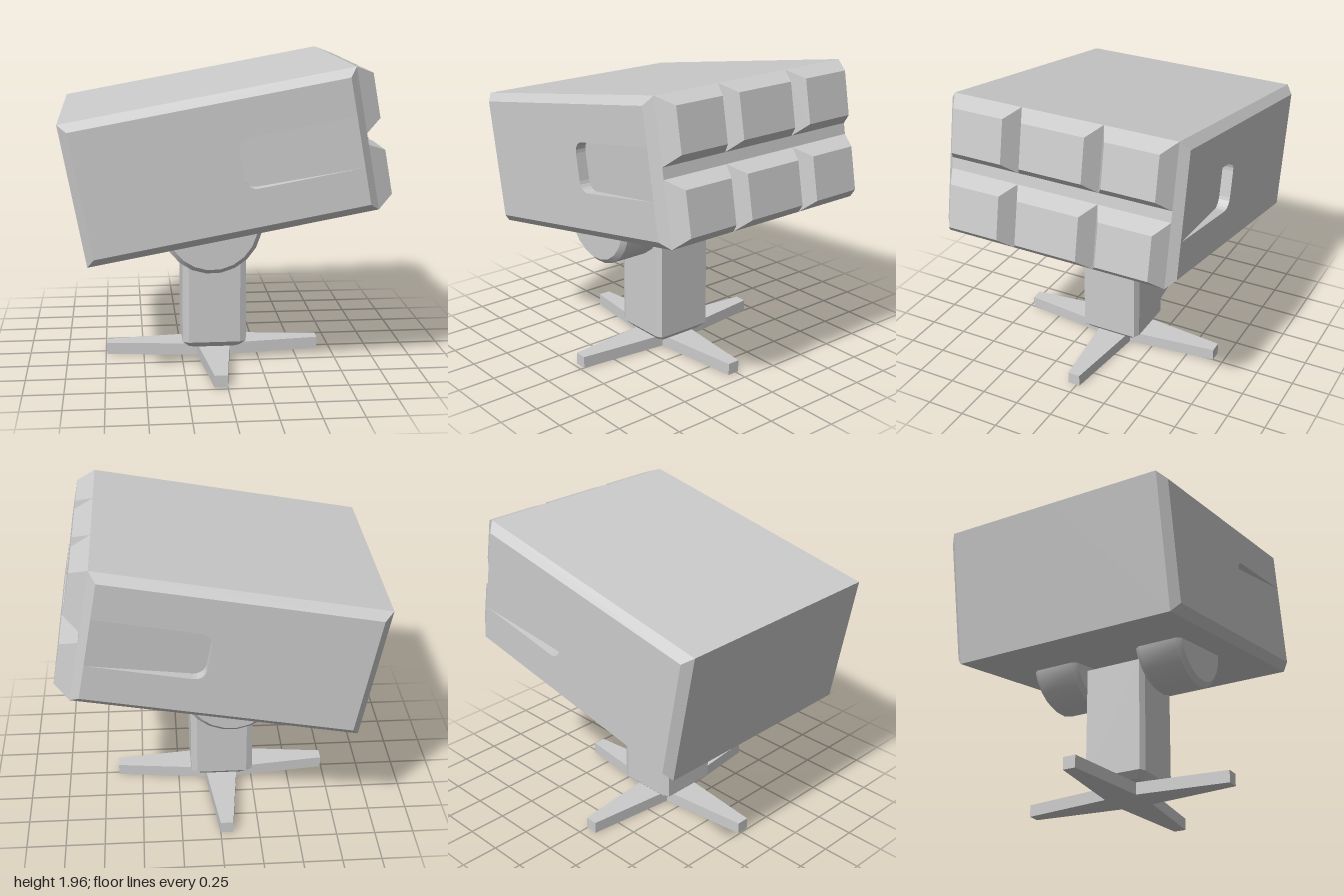
import * as THREE from 'three';
import { toCreasedNormals, mergeGeometries } from 'three/addons/utils/BufferGeometryUtils.js';

const material = new THREE.MeshStandardMaterial({ color: 0xcccccc });

function add(parent, name, geometry) {
  const mesh = new THREE.Mesh(geometry, material);
  mesh.name = name;
  parent.add(mesh);
  return mesh;
}

// Faceted skin through rings of [x, y, z] points, optionally capped at the start and end
function loft(rings, capStart, capEnd) {
  const pos = [];
  const tri = (a, b, c) => pos.push(...a, ...b, ...c);
  const n = rings[0].length;
  for (let r = 0; r < rings.length - 1; r++) {
    const a = rings[r], b = rings[r + 1];
    for (let i = 0; i < n; i++) {
      const j = (i + 1) % n;
      tri(a[i], a[j], b[j]);
      tri(a[i], b[j], b[i]);
    }
  }
  const last = rings[rings.length - 1];
  for (let i = 1; i < n - 1; i++) {
    if (capStart) tri(rings[0][0], rings[0][i + 1], rings[0][i]);
    if (capEnd) tri(last[0], last[i], last[i + 1]);
  }
  const g = new THREE.BufferGeometry();
  g.setAttribute('position', new THREE.Float32BufferAttribute(pos, 3));
  g.computeVertexNormals();
  return g;
}

const rect = (a0, a1, b0, b1) => [[a0, b0], [a1, b0], [a1, b1], [a0, b1]];

// Launcher box dimensions in its own tilted frame
const L = 1.776, H = 0.87, W = 0.78, BEVEL = 0.05;

// One half of the box: bevelled shell, side panel and sloping hand recess
function halfCasing() {
  const half = new THREE.Group();
  const ring = (inset, z) =>
    rect(inset, L - inset, inset, H - inset).map(([x, y]) => [x, y, z]);
  add(half, 'casingShell', loft([ring(0, 0), ring(0, W - BEVEL), ring(BEVEL, W)], false, false));

  // Recess outline, open to the front bevel, with rounded rear corners
  const front = L - BEVEL, rear = 1.01, low = 0.28, high = 0.59, r = 0.07, depth = 0.07;
  const outline = [[front, low]];
  for (const [cy, start] of [[low + r, 1.5], [high - r, 1]]) {
    for (let i = 0; i <= 5; i++) {
      const a = Math.PI * (start - 0.1 * i);
      outline.push([rear + r + r * Math.cos(a), cy + r * Math.sin(a)]);
    }
  }
  outline.push([front, high]);

  const panel = new THREE.Shape([
    [BEVEL, BEVEL], [front, BEVEL], ...outline, [front, H - BEVEL], [BEVEL, H - BEVEL],
  ].map(([x, y]) => new THREE.Vector2(x, y)));
  add(half, 'sidePanel', new THREE.ShapeGeometry(panel).translate(0, 0, W));

  const floorZ = (x) => W - depth * (front - x) / (front - rear);
  const ccw = outline.slice().reverse();
  add(half, 'sideRecess', loft([
    ccw.map(([x, y]) => [x, y, W]),
    ccw.map(([x, y]) => [x, y, floorZ(x)]),
  ], false, true));
  return half;
}

export function createModel() {
  const model = new THREE.Group();
  model.name = 'launcherTurret';

  // Tilted launcher box
  const launcher = new THREE.Group();
  launcher.name = 'launcher';
  launcher.position.set(-0.84, 0.785, 0);
  launcher.rotation.z = 0.1815;
  model.add(launcher);
  for (const side of [1, -1]) {
    const half = halfCasing();
    half.name = side > 0 ? 'leftCasing' : 'rightCasing';
    half.scale.z = side;
    launcher.add(half);
  }

  // Two rows of three tapered tube covers
  const inset = 0.063;
  for (const y of [0, 0.47]) {
    for (const [z0, z1] of [[-0.73, -0.267], [-0.267, 0.267], [0.267, 0.73]]) {
      const ring = (d, x) => rect(y + d, y + 0.4 - d, z0 + d, z1 - d).map(([v, z]) => [x, v, z]);
      add(launcher, 'tubeCover', loft([ring(0, L), ring(inset, L + 0.105)], false, true));
    }
  }

  // Rounded pivot lugs under the box
  const R = 0.31, c = 0.03, h = 0.158;
  const profile = [[0, -h], [R - c, -h], [R, c - h], [R, h - c], [R - c, h], [0, h]]
    .map(([x, y]) => new THREE.Vector2(x, y));
  const span = Math.PI + 0.4;
  const lug = toCreasedNormals(
    new THREE.LatheGeometry(profile, 12, -span / 2, span).rotateX(Math.PI / 2), 0.5);
  for (const z of [0.394, -0.349]) {
    add(launcher, 'pivotLug', lug).position.set(0.783, 0.055, z);
  }

  // Pillar with chamfered corners and foot
  const stand = new THREE.Group();
  stand.name = 'stand';
  stand.position.set(-0.04, 0, 0.02);
  model.add(stand);
  const pillarRing = (d, y) => {
    const a = 0.207 - d, b = 0.208 - d, cx = 0.04, cz = 0.02;
    return [[a, b - cz], [a, cz - b], [a - cx, -b], [cx - a, -b],
      [-a, cz - b], [-a, b - cz], [cx - a, b], [a - cx, b]].map(([x, z]) => [x, y, z]);
  };
  add(stand, 'pillar',
    loft([pillarRing(0.042, 0.078), pillarRing(0, 0.12), pillarRing(0, 0.85)], true, true));

  // Four-armed base with tapering arms
  const points = [];
  for (let i = 0; i < 4; i++) {
    for (const [x, y] of [[0.108, -0.108], [0.703, -0.041], [0.703, 0.041]]) {
      points.push(new THREE.Vector2(x, y).rotateAround(new THREE.Vector2(), i * Math.PI / 2));
    }
  }
  add(stand, 'crossBase', new THREE.ExtrudeGeometry(new THREE.Shape(points),
    { depth: 0.078, bevelEnabled: false }).rotateX(-Math.PI / 2));

  return model;
}
